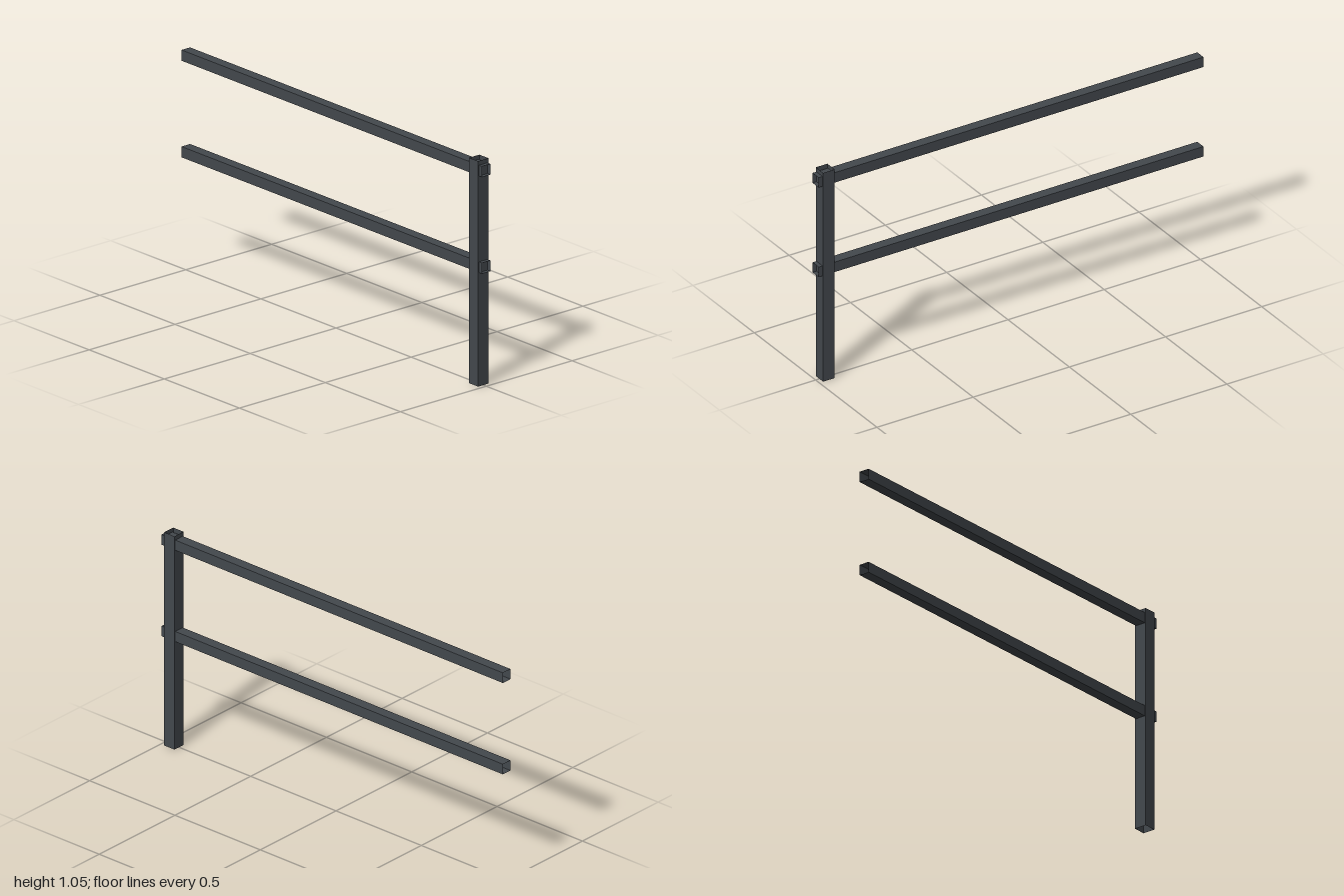
import * as THREE from 'three';

const steel = new THREE.MeshStandardMaterial({ color: 0x43484d, side: THREE.DoubleSide });
steel.name = 'anthracite steel';

// Thin-walled square tube, open at both ends, running along y
function squareTube(name, size, length) {
  const geometry = new THREE.CylinderGeometry(size / Math.SQRT2, size / Math.SQRT2, length, 4, 1, true)
    .rotateY(Math.PI / 4)
    .toNonIndexed();
  geometry.computeVertexNormals();
  const mesh = new THREE.Mesh(geometry, steel);
  mesh.name = name;
  return mesh;
}

export function createModel() {
  const group = new THREE.Group();
  group.name = 'railing';

  // Upright post near the front end
  const post = squareTube('post', 0.06, 1.05);
  post.position.set(0, 0.525, 0.95);
  group.add(post);

  // Two horizontal rails passing through the post
  for (const [name, y] of [['topRail', 1.005], ['middleRail', 0.555]]) {
    const rail = squareTube(name, 0.05, 2);
    rail.rotation.x = Math.PI / 2;
    rail.position.y = y;
    group.add(rail);
  }
  return group;
}
